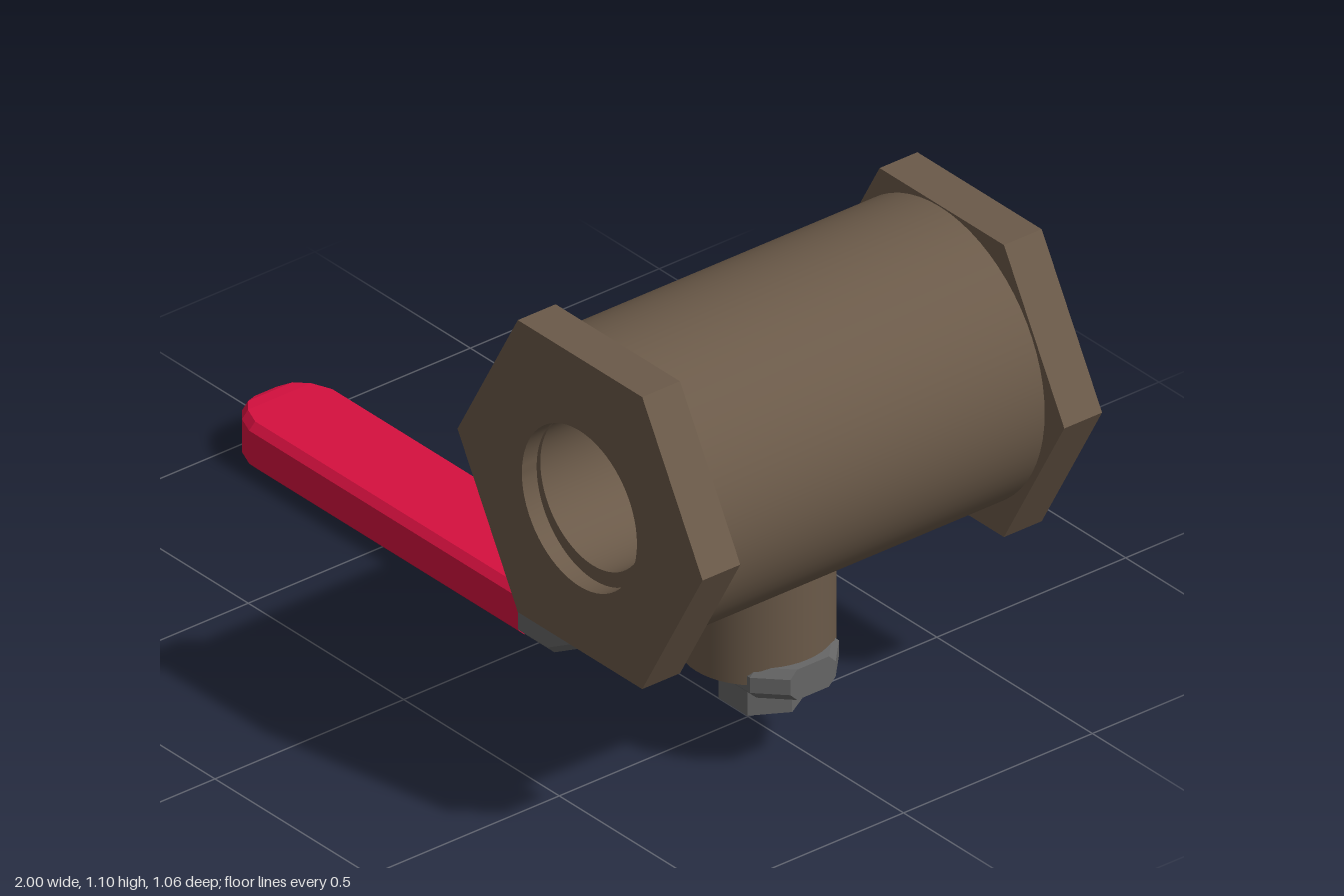
import * as THREE from 'three';
import { toCreasedNormals } from 'three/addons/utils/BufferGeometryUtils.js';

const bronze = new THREE.MeshStandardMaterial({ color: 0x6b5a49 });
const steel = new THREE.MeshStandardMaterial({ color: 0x666666, flatShading: true });
const grip = new THREE.MeshStandardMaterial({ color: 0xd6103f, flatShading: true });

const LEVER_Z = 0.042;

function addMesh(group, name, geometry, material, x = 0, y = 0, z = 0) {
  const mesh = new THREE.Mesh(geometry, material);
  mesh.name = name;
  mesh.position.set(x, y, z);
  group.add(mesh);
  return mesh;
}

function circle(PathType, x, y, r) {
  const path = new PathType();
  path.absarc(x, y, r, 0, Math.PI * 2, false);
  return path;
}

// Extrude along z, centred, with smooth curved walls and sharp rims
function extrude(shape, depth) {
  const geo = new THREE.ExtrudeGeometry(shape, { depth, bevelEnabled: false, curveSegments: 32 });
  geo.translate(0, 0, -depth / 2);
  return toCreasedNormals(geo, 0.5);
}

// Loft a chamfered rectangle through stations [x, bottom, top, halfWidth]
function chamferedBar(stations, c) {
  const positions = [], index = [], n = 8;
  for (const [x, b, t, w] of stations) {
    const ring = [
      [t, w - c], [t - c, w], [b + c, w], [b, w - c],
      [b, c - w], [b + c, -w], [t - c, -w], [t, c - w],
    ];
    for (const [y, z] of ring) positions.push(x, y, z);
  }
  for (let s = 0; s < stations.length - 1; s++) {
    for (let i = 0; i < n; i++) {
      const a = s * n + i, b = s * n + (i + 1) % n;
      index.push(a, b, a + n, b, b + n, a + n);
    }
  }
  const last = (stations.length - 1) * n;
  for (let i = 1; i < n - 1; i++) {
    index.push(0, i + 1, i, last, last + i, last + i + 1);
  }
  const geo = new THREE.BufferGeometry();
  geo.setAttribute('position', new THREE.Float32BufferAttribute(positions, 3));
  geo.setIndex(index);
  const flat = geo.toNonIndexed();
  flat.computeVertexNormals();
  return flat;
}

export function createModel() {
  const model = new THREE.Group();
  model.name = 'ballValve';

  // Valve body with a through bore
  const tube = circle(THREE.Shape, 0, 0, 0.337);
  tube.holes.push(circle(THREE.Path, 0, 0, 0.169));
  addMesh(model, 'body', extrude(tube, 0.98), bronze, 0.596, 0.757, 0);

  // Hexagonal ends with a slightly wider, off-centre port
  const hex = new THREE.Shape([
    [0.394, 0], [0.2, 0.347], [-0.2, 0.347], [-0.394, 0], [-0.2, -0.347], [0.2, -0.347],
  ].map(([x, y]) => new THREE.Vector2(x, y)));
  hex.holes.push(circle(THREE.Path, -0.002, -0.01, 0.185));
  const hexGeo = extrude(hex, 0.1);
  addMesh(model, 'frontHexEnd', hexGeo, bronze, 0.602, 0.75, 0.479);
  addMesh(model, 'backHexEnd', hexGeo, bronze, 0.602, 0.75, -0.479);

  // Stem housing below the body
  addMesh(model, 'stem', new THREE.CylinderGeometry(0.162, 0.162, 0.28, 48), bronze, 0.58, 0.362, LEVER_Z);

  // Cranked lever: flat shank, rising bend, clipped end under the stem
  const lever = new THREE.Group();
  lever.name = 'lever';
  lever.position.z = LEVER_Z;
  model.add(lever);
  addMesh(lever, 'leverArm', chamferedBar([
    [-0.045, 0, 0.11, 0.118],
    [0.05, 0, 0.11, 0.118],
    [0.385, 0.19, 0.262, 0.118],
    [0.7, 0.19, 0.262, 0.118],
    [0.76, 0.19, 0.262, 0.06],
  ], 0.018), steel);

  // Coloured grip with a rounded tip
  addMesh(lever, 'leverGrip', chamferedBar([
    [-1, 0.008, 0.102, 0.045],
    [-0.985, 0.002, 0.108, 0.075],
    [-0.955, 0, 0.11, 0.1],
    [-0.91, 0, 0.11, 0.118],
    [-0.045, 0, 0.11, 0.118],
  ], 0.016), grip);

  // Hex nut holding the lever, corners pointing along x
  const nut = addMesh(model, 'leverNut', new THREE.CylinderGeometry(0.093, 0.093, 0.09, 6), steel, 0.6, 0.16, LEVER_Z);
  nut.rotation.y = Math.PI / 6;

  return model;
}
